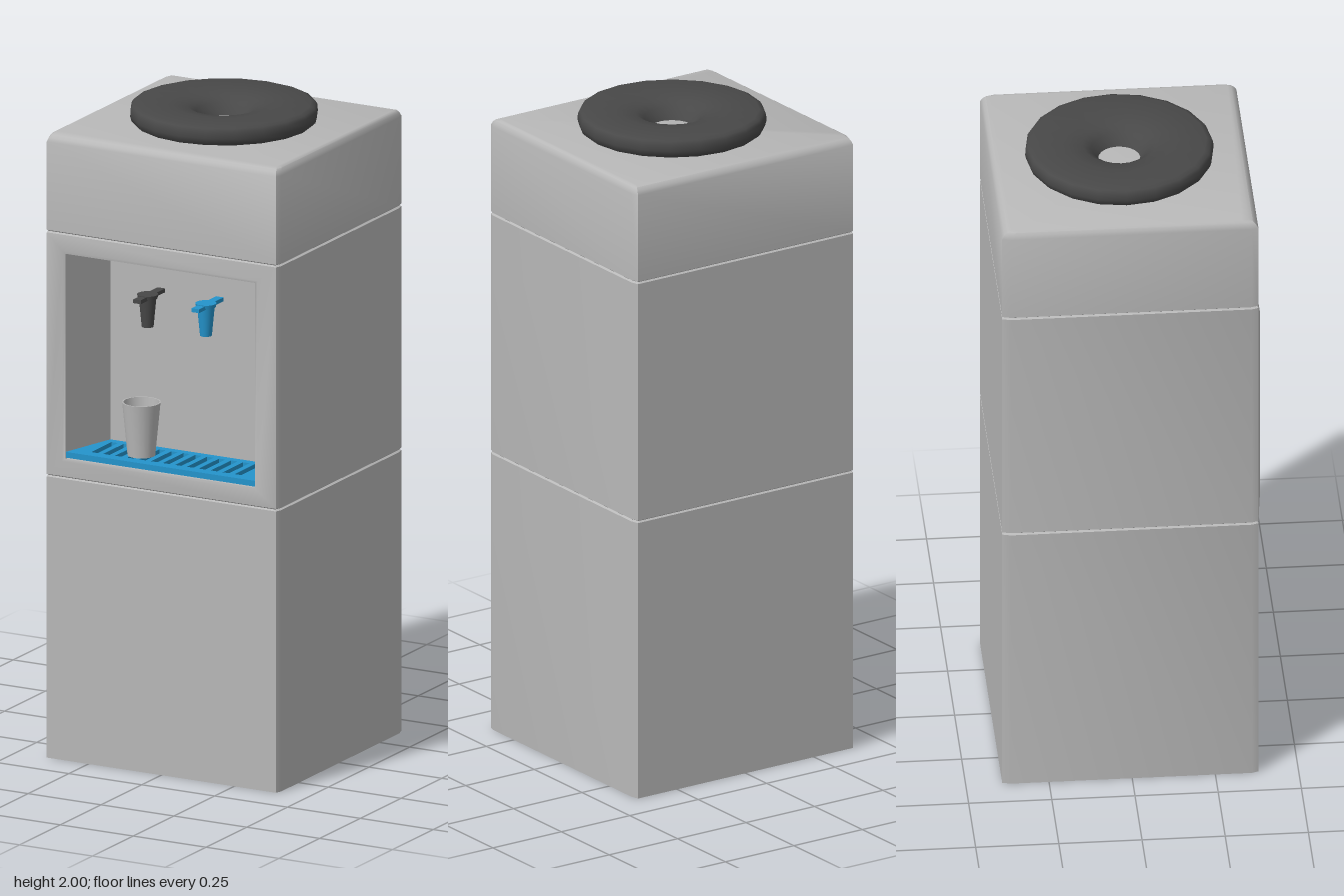
import * as THREE from 'three';
import { toCreasedNormals } from 'three/addons/utils/BufferGeometryUtils.js';

const mat = (name, color) => {
  const m = new THREE.MeshStandardMaterial({ color, side: THREE.DoubleSide });
  m.name = name;
  return m;
};

// Skin a list of equal-length point loops; optionally close the ring and cap the last loop
function loft(loops, closed, cap) {
  const n = loops[0].length, index = [];
  for (let i = 0; i < loops.length - 1; i++) {
    for (let j = 0; j < (closed ? n : n - 1); j++) {
      const a = i * n + j, b = i * n + (j + 1) % n;
      index.push(a, b, a + n, b, b + n, a + n);
    }
  }
  const last = (loops.length - 1) * n;
  if (cap) for (let j = 1; j < n - 1; j++) index.push(last, last + j, last + j + 1);
  const g = new THREE.BufferGeometry();
  g.setAttribute('position', new THREE.Float32BufferAttribute(loops.flat(2), 3));
  g.setIndex(index);
  return toCreasedNormals(g, 0.6);
}

// Cabinet cross-section with slim corner bevels, starting at the front left
function section(y, dx = 0, dz = dx) {
  const half = [[0.393, 0.38], [0.4, 0.36], [0.4, -0.365], [0.393, -0.39]];
  const all = [...half, ...half.slice().reverse().map(([x, z]) => [-x, z])];
  return all.map(([x, z]) => [x - Math.sign(x) * dx, y, z - Math.sign(z) * dz]);
}

// Upright rectangle facing the front
const rect = (w, y0, y1, z) => [[-w, y0, z], [w, y0, z], [w, y1, z], [-w, y1, z]];

const lathe = (pts, segments) =>
  toCreasedNormals(new THREE.LatheGeometry(pts.map(([r, y]) => new THREE.Vector2(r, y)), segments), 0.75);

export function createModel() {
  const group = new THREE.Group();
  const grey = mat('grey plastic', 0xb8b8b8);
  const dark = mat('dark plastic', 0x484848);
  const blue = mat('blue plastic', 0x2494cc);
  const add = (name, geometry, material, x = 0, y = 0, z = 0, parent = group) => {
    const m = new THREE.Mesh(geometry, material);
    m.name = name;
    m.position.set(x, y, z);
    parent.add(m);
    return m;
  };

  // Cabinet shells, separated by narrow grooves; the base is open underneath
  add('lowerCabinet', loft([section(0), section(0.876), section(0.88, 0.006)], true), grey);
  add('middleCabinet', loft([
    section(0.88, 0.006), section(0.884), section(1.636), section(1.64, 0.006),
  ], false), grey);
  add('upperCabinet', loft([
    section(1.64, 0.006), section(1.644), section(1.918), section(1.93, 0.003, 0.007),
    section(1.938, 0.007, 0.016), section(1.942, 0.014, 0.028),
  ], true, true), grey);

  // Bulging front frame running into the tapered dispensing niche
  add('frontFrameAndNiche', loft([
    rect(0.387, 0.88, 1.64, 0.374), rect(0.393, 0.884, 1.636, 0.38),
    rect(0.335, 0.934, 1.588, 0.389), rect(0.325, 0.942, 1.58, 0.386),
    rect(0.275, 0.944, 1.53, 0.2),
  ], true, true), grey);

  // Drip tray with slotted grille
  const outline = new THREE.Shape([[-0.325, -0.385], [0.325, -0.385], [0.275, -0.201], [-0.275, -0.201]]
    .map(([x, y]) => new THREE.Vector2(x, y)));
  const tray = outline.clone();
  for (let i = -6; i <= 6; i++) {
    const x = i * 0.041, w = 0.011;
    tray.holes.push(new THREE.Path([[x - w, -0.35], [x - w, -0.225], [x + w, -0.225], [x + w, -0.35]]
      .map(([px, py]) => new THREE.Vector2(px, py))));
  }
  const flat = (shape, depth) =>
    new THREE.ExtrudeGeometry(shape, { depth, bevelEnabled: false }).rotateX(-Math.PI / 2);
  add('dripTrayGrille', flat(tray, 0.014), blue, 0, 0.949, 0);
  add('dripTrayBase', flat(outline, 0.004), blue, 0, 0.945, 0);

  // Taps: tapered spout, round flange and an arm to the niche wall
  for (const [name, x, material] of [['hotTap', -0.1, dark], ['coldTap', 0.1, blue]]) {
    const tap = new THREE.Group();
    tap.name = name;
    tap.position.set(x, 0, 0.285);
    group.add(tap);
    add('spout', new THREE.CylinderGeometry(0.027, 0.018, 0.095, 16), material, 0, 1.4075, 0, tap);
    add('flange', new THREE.CylinderGeometry(0.032, 0.03, 0.012, 16), material, 0, 1.455, 0, tap);
    add('arm', new THREE.BoxGeometry(0.026, 0.012, 0.15), material, 0, 1.453, -0.01, tap);
  }

  // Cup standing on the tray
  add('cup', lathe([[0, 0], [0.042, 0], [0.058, 0.165], [0.054, 0.165], [0.038, 0.006], [0, 0.006]], 20),
    grey, -0.11, 0.964, 0.305);

  // Bottle seat ring with a dished centre hole
  add('bottleSeat', lathe([
    [0.268, 1.94], [0.279, 1.95], [0.283, 1.965], [0.282, 1.985], [0.276, 1.995], [0.262, 2],
    [0.16, 1.998], [0.11, 1.99], [0.085, 1.975], [0.063, 1.942],
  ], 20), dark, 0, 0, -0.005);

  return group;
}
